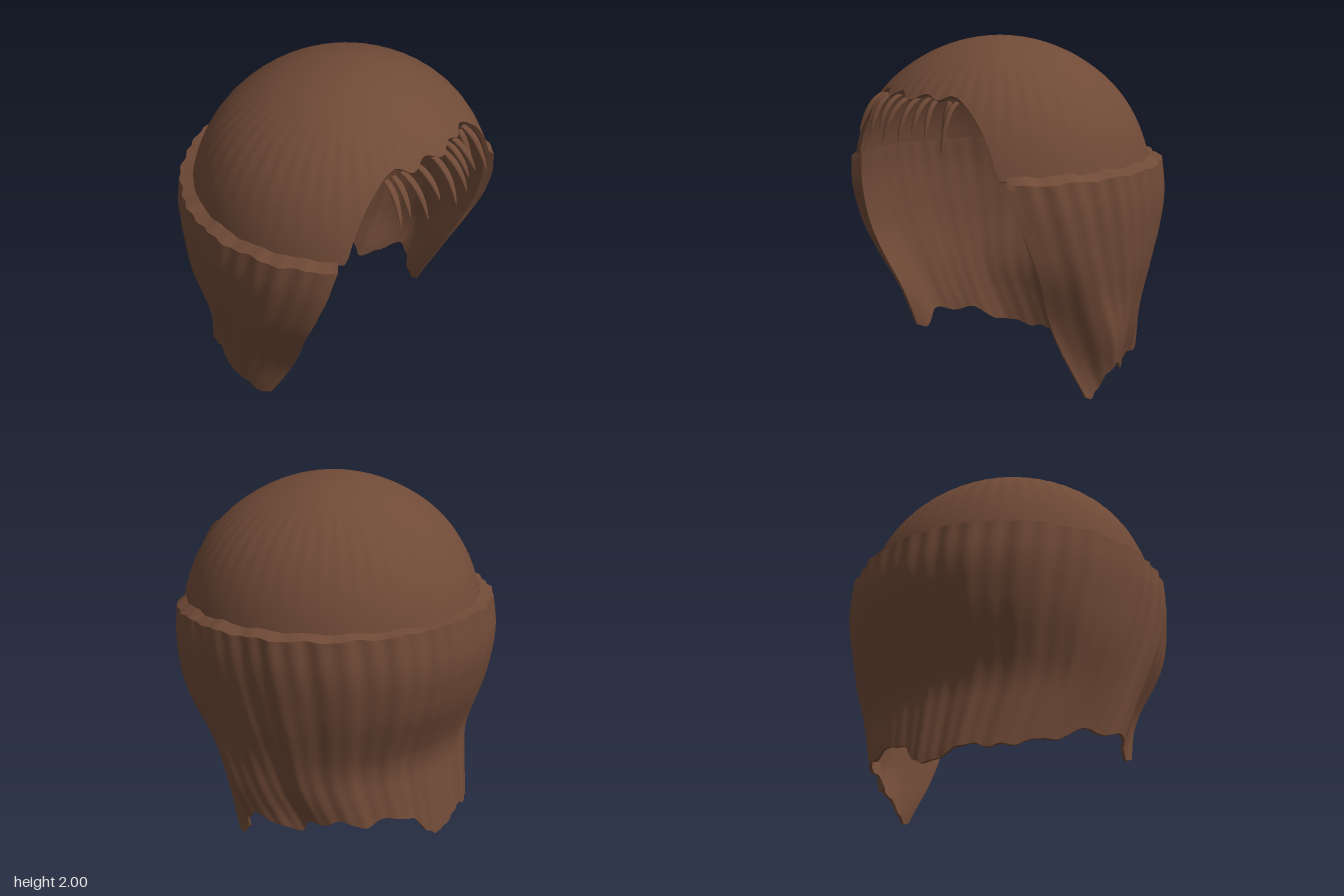
import * as THREE from 'three';
import { toCreasedNormals } from 'three/addons/utils/BufferGeometryUtils.js';

const { clamp, smoothstep } = THREE.MathUtils;

// Smooth bump of height 1 around a centre
const bell = (x, centre, width) => Math.exp(-(((x - centre) / width) ** 2));

// Smooth interpolation through [key, value] pairs sorted by key
function sample(table, k) {
  if (k <= table[0][0]) return table[0][1];
  for (let i = 1; i < table.length; i++) {
    const [k0, v0] = table[i - 1], [k1, v1] = table[i];
    if (k <= k1) {
      const t = (k - k0) / (k1 - k0);
      return v0 + (v1 - v0) * t * t * (3 - 2 * t);
    }
  }
  return table[table.length - 1][1];
}

// Straight interpolation, averaged over a window to round the corners
function curve(table, k, w = 0.08) {
  let sum = 0;
  for (let i = -2; i <= 2; i++) {
    const q = clamp(k + i * w / 2, table[0][0], table[table.length - 1][0]);
    let j = 1;
    while (j < table.length - 1 && q > table[j][0]) j++;
    const [k0, v0] = table[j - 1], [k1, v1] = table[j];
    sum += v0 + (v1 - v0) * (q - k0) / (k1 - k0);
  }
  return sum / 5;
}

// Thick sheet from point(u, v, inner); each column runs down outside and back up inside
function shell(point, cols, rows, { closeTop, endCaps }) {
  const pos = [], index = [], ring = 2 * (rows + 1);
  for (let c = 0; c <= cols; c++) {
    for (let r = 0; r < ring; r++) {
      const inner = r > rows;
      pos.push(...point(c / cols, (inner ? ring - 1 - r : r) / rows, inner));
    }
  }
  for (let c = 0; c < cols; c++) {
    for (let r = 0; r < (closeTop ? ring : ring - 1); r++) {
      const a = c * ring + r, b = c * ring + (r + 1) % ring;
      index.push(a, b, a + ring, b, b + ring, a + ring);
    }
  }
  if (endCaps) {
    for (let r = 0; r < rows; r++) {
      const a = r, b = r + 1, c = ring - 1 - r, d = ring - 2 - r, e = cols * ring;
      index.push(a, c, b, b, c, d, e + a, e + b, e + c, e + b, e + d, e + c);
    }
  }
  const geo = new THREE.BufferGeometry();
  geo.setAttribute('position', new THREE.Float32BufferAttribute(pos, 3));
  geo.setIndex(index);
  return toCreasedNormals(geo, 0.8);
}

// Dome over the crown, cut off at the forehead with a wavy rim
function capPoint(u, v, inner) {
  const phi = Math.PI + u * Math.PI * 2;
  const cos = Math.cos(phi), sin = Math.sin(phi);
  let max = 1.355;
  if (cos > 0.3) {
    const x = 0.65 * sin / cos;
    const fringe = Math.exp(-((x / 0.27) ** 4));
    const cut = 0.575 + fringe * (0.085 + 0.02 * Math.sin(x * 27 + 1));
    max = Math.min(max, Math.asin(Math.min(1, cut / (0.89 * cos))));
  }
  const psi = v * max;
  const fold = 0.002 * Math.sin(phi * 48) * smoothstep(psi, 0.4, 0.8) * (1 - smoothstep(psi, 0.9, 1.3));
  const bulge = 0.02 * sin * sin * bell(psi, 0.9, 0.35);
  const k = 1 + fold + bulge - (inner ? 0.025 : 0);
  return [
    0.89 * k * Math.sin(psi) * sin,
    1.1 + 0.9 * k * Math.cos(psi),
    0.07 + 0.88 * k * Math.sin(psi) * cos,
  ];
}

// Curtain profiles by height: half width, depth at the back, front edge
const halfWidth = [[0, 0.79], [0.3, 0.835], [0.5, 0.865], [0.8, 0.92], [1.08, 0.947], [1.2, 0.945], [1.32, 0.925]];
const backDepth = [[0, 0.81], [0.2, 0.77], [0.45, 0.725], [0.6, 0.78], [0.8, 0.875], [1.05, 0.938], [1.2, 0.93], [1.32, 0.9]];
const frontEdge = [[0, 0.08], [0.1, 0.13], [0.3, 0.24], [0.6, 0.39], [0.9, 0.53], [1.1, 0.6], [1.3, 0.635]];
// Ragged hem from the right lock, across the back, to the left lock
const hem = [
  [-1, 0.13], [-0.95, 0.1], [-0.82, 0.2], [-0.74, 0.17], [-0.65, 0.19], [-0.54, 0.1], [-0.46, 0.09],
  [-0.38, 0.05], [-0.33, 0.06], [-0.29, 0.04], [-0.22, 0.07], [-0.16, 0.06], [-0.08, 0.01], [0, 0],
  [0.04, 0.03], [0.12, 0.14], [0.25, 0.18], [0.33, 0.14], [0.43, 0.19], [0.5, 0.16], [0.56, 0.17],
  [0.64, 0.09], [0.72, 0.13], [0.8, 0.2], [0.86, 0.15], [0.93, 0.05], [0.975, 0.005], [1, 0.02],
];

function curtainPoint(u, v, inner) {
  const s = u * 2 - 1, side = Math.abs(s);
  const top = 1.315 - 0.04 * side + 0.005 * Math.sin(s * 47) + (inner ? 0.055 * side : 0);
  const y = top + (sample(hem, s) - top) * v;
  const a = curve(halfWidth, y) + 0.04 * smoothstep(s, 0, 0.7) * bell(y, 0.35, 0.2);
  const front = curve(frontEdge, y, 0.04);
  const theta = s * Math.acos(clamp(-(front - 0.05) / a, -1, 1));
  const cos = Math.cos(theta);
  const depth = cos > 0 ? a + (curve(backDepth, y) - a) * Math.min(1, cos * 1.6) : a;
  const fade = (1 - smoothstep(side, 0.93, 1)) * (inner ? 0.5 : 1);
  const fine = 0.0025 + 0.0035 * smoothstep(y, 0.9, 1.3);
  const fold = fade * (fine * Math.sin(s * 100 + Math.sin(s * 9)) + 0.005 * Math.sin(s * 37 + 1));
  const thick = inner ? 0.018 + 0.055 * smoothstep(y, 0.3, 1.3) : 0;
  // Lock edges meet the cap rim above and curl inward below
  const rim = inner ? 0 : 0.02 * smoothstep(side, 0.95, 1) * smoothstep(y, 0.9, 1.3);
  const curl = (s > 0 ? 0.14 : 0.11) * smoothstep(side, 0.8, 1) * bell(y, 0.38, 0.3);
  // Tuck between each lock and the back, deeper on the left
  const tuck = (s > 0 ? 0.08 : 0.035) * bell(side, 0.63, 0.12) * (1 - smoothstep(y, 0.15, 0.75));
  const k = fold - thick - tuck;
  return [(a + k - curl - rim) * Math.sin(theta), y, 0.05 - (depth + k) * cos];
}

// Pointed, flattened wisp bent along a curve
function wisp(root, tip, width) {
  const mid = new THREE.Vector3((root.x * 2 + tip.x) / 3, root.y - 0.03, tip.z - 0.05);
  const path = new THREE.QuadraticBezierCurve3(root, mid, tip);
  const geo = new THREE.CylinderGeometry(1, 1, 1, 8, 12);
  const p = geo.attributes.position;
  for (let i = 0; i < p.count; i++) {
    const t = 0.5 - p.getY(i);
    const c = path.getPoint(t), d = path.getTangent(t);
    const w = width * (0.6 + 1.1 * t) * Math.pow(1 - t, 0.7) + 0.0005;
    const off = p.getZ(i) * w * 0.5;
    p.setXYZ(i, c.x + p.getX(i) * w, c.y + off * d.z, c.z - off * d.y);
  }
  geo.computeVertexNormals();
  return geo;
}

export function createModel() {
  const group = new THREE.Group();
  const hair = new THREE.MeshStandardMaterial({ color: 0x704a37, side: THREE.DoubleSide });
  hair.name = 'brownHair';
  const add = (name, geo, parent = group) => {
    const mesh = new THREE.Mesh(geo, hair);
    mesh.name = name;
    parent.add(mesh);
  };

  add('crownCap', shell(capPoint, 240, 24, { closeTop: false, endCaps: false }));
  add('hairCurtain', shell(curtainPoint, 280, 36, { closeTop: true, endCaps: true }));

  // Fringe wisps: root x, tip x, tip y, tip z
  const fringe = new THREE.Group();
  fringe.name = 'fringe';
  group.add(fringe);
  const wisps = [
    [-0.35, -0.39, 1.46, 0.79], [-0.3, -0.31, 1.48, 0.79], [-0.24, -0.22, 1.44, 0.84],
    [-0.14, -0.12, 1.51, 0.84], [-0.02, -0.03, 1.45, 0.885], [0.06, 0.09, 1.46, 0.87],
    [0.13, 0.16, 1.5, 0.83], [0.19, 0.25, 1.49, 0.81], [0.28, 0.31, 1.5, 0.74], [0.33, 0.38, 1.41, 0.8],
  ];
  for (const [x0, x1, y1, z1] of wisps) {
    const root = new THREE.Vector3(x0, 1.69 - 0.1 * x0 * x0, 0.69 - 0.35 * x0 * x0);
    add('fringeWisp', wisp(root, new THREE.Vector3(x1, y1, z1), 0.031), fringe);
  }
  return group;
}
